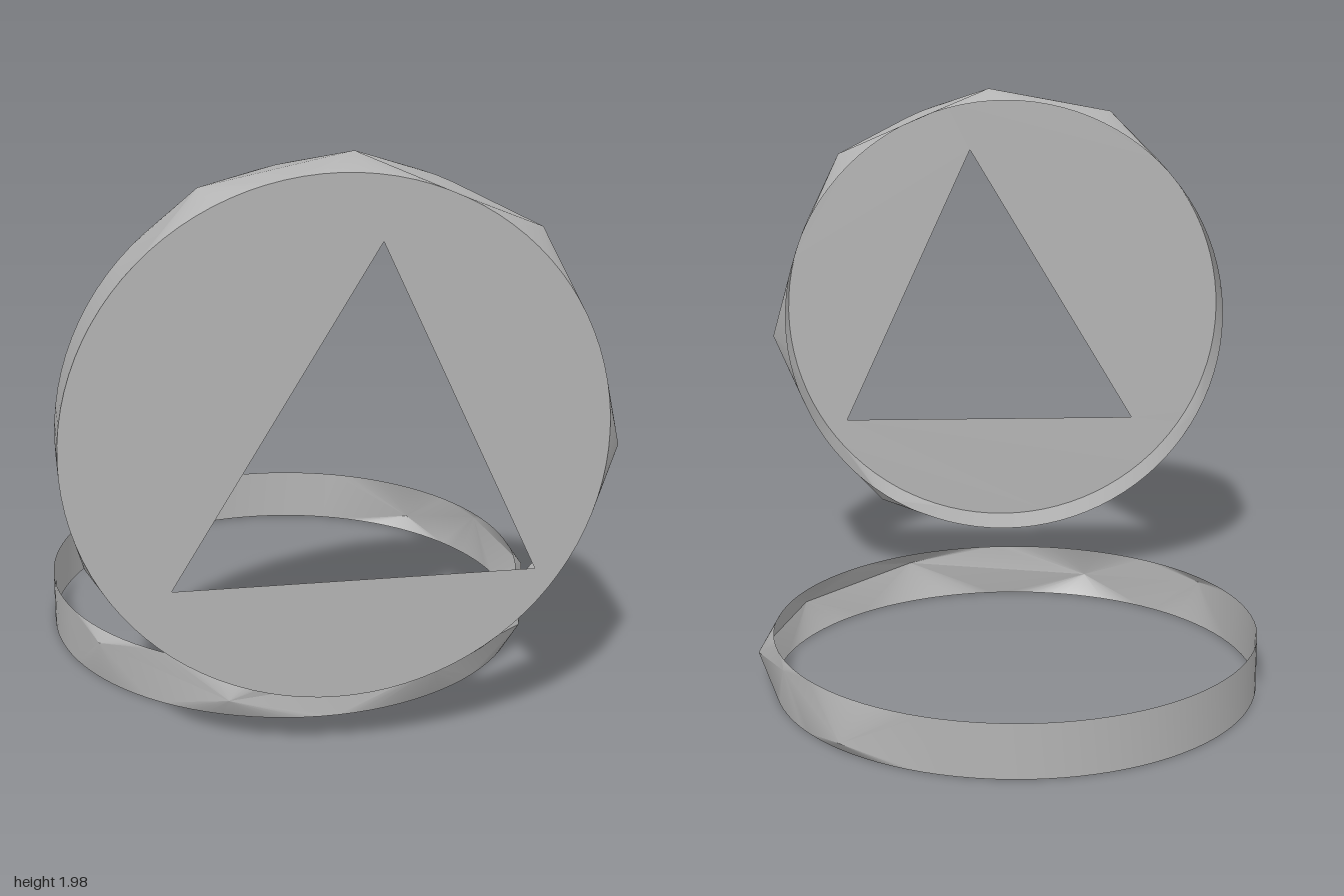
import * as THREE from 'three';
import { toCreasedNormals } from 'three/addons/utils/BufferGeometryUtils.js';

const R = 0.853, HALF = 0.096, SEGMENTS = 96;

// Open band around +y: a thin wall with a few outward points, given as [x, z, y]
// relative to the band's centre. Each point fans out to both rims.
function makeBand(points) {
  const pos = [], index = [], step = (Math.PI * 2) / SEGMENTS;
  for (let i = 0; i < SEGMENTS; i++) {
    const x = R * Math.cos(i * step), z = R * Math.sin(i * step);
    pos.push(x, HALF, z, x, -HALF, z);
  }
  const top = (i) => 2 * (((i % SEGMENTS) + SEGMENTS) % SEGMENTS);
  const bottom = (i) => top(i) + 1;

  // Points in angular order, with the arc each one covers
  const peaks = points.map(([x, z, y]) => {
    const angle = Math.atan2(z, x);
    const reach = Math.acos(R / Math.hypot(x, z)) + 0.035;
    pos.push(x, y, z);
    return { angle, id: pos.length / 3 - 1, from: Math.round((angle - reach) / step), to: Math.round((angle + reach) / step) };
  }).sort((a, b) => a.angle - b.angle);

  peaks.forEach((p, k) => {
    const next = peaks[k + 1];
    p.joined = !!next && next.from <= p.to;
    if (p.joined) p.to = next.from = Math.round((p.angle + next.angle) / 2 / step);
  });

  peaks.forEach((p, k) => {
    for (let i = p.from; i < p.to; i++) {
      index.push(p.id, top(i), top(i + 1), p.id, bottom(i + 1), bottom(i));
    }
    // Left and right ends: meet the neighbouring point or the plain wall
    if (!(k > 0 && peaks[k - 1].joined)) index.push(p.id, bottom(p.from), top(p.from));
    if (p.joined) {
      const q = peaks[k + 1].id;
      index.push(p.id, top(p.to), q, p.id, q, bottom(p.to));
    } else {
      index.push(p.id, top(p.to), bottom(p.to));
      // Plain wall up to the next point
      const n = peaks[k + 1], end = n ? n.from : peaks[0].from + SEGMENTS;
      for (let i = p.to; i < end; i++) {
        index.push(top(i), top(i + 1), bottom(i), bottom(i), top(i + 1), bottom(i + 1));
      }
    }
  });

  const g = new THREE.BufferGeometry();
  g.setAttribute('position', new THREE.Float32BufferAttribute(pos, 3));
  g.setIndex(index);
  return toCreasedNormals(g, 0.5);
}

export function createModel() {
  const model = new THREE.Group();
  const grey = new THREE.MeshStandardMaterial({ color: 0xb3b3b3, side: THREE.DoubleSide });
  grey.name = 'grey';
  const add = (parent, name, geometry) => {
    const mesh = new THREE.Mesh(geometry, grey);
    mesh.name = name;
    parent.add(mesh);
    return mesh;
  };

  // Lying ring
  const ring = add(model, 'lyingRing', makeBand([
    [0.60, -0.66, -0.05], [0.80, -0.33, 0.07], [0.91, -0.01, 0.01], [0.77, 0.49, 0.01],
    [0.38, 0.83, 0.04], [-0.31, 0.84, -0.02], [-0.72, 0.51, 0.06],
  ]));
  ring.position.set(-0.03, 0.1, -0.15);

  // Upright cap: rim open at the back
  const cap = new THREE.Group();
  cap.name = 'uprightCap';
  cap.position.set(-0.03, 1.09, 0.904);
  model.add(cap);
  const rim = add(cap, 'capRim', makeBand([
    [-0.41, -0.80, 0], [0.06, -0.89, -0.02], [0.64, -0.64, 0],
    [0.91, 0.08, 0.01], [0.49, 0.76, 0.01], [-0.78, 0.40, 0],
  ]));
  rim.rotation.x = Math.PI / 2;

  // Front face with a triangular opening
  const face = new THREE.Shape().absarc(0, 0, R, 0, Math.PI * 2);
  face.holes.push(new THREE.Path([[0.13, 0.64], [-0.52, -0.45], [0.63, -0.45]].map(([x, y]) => new THREE.Vector2(x, y))));
  add(cap, 'capFace', new THREE.ShapeGeometry(face, 48)).position.z = HALF;

  return model;
}
